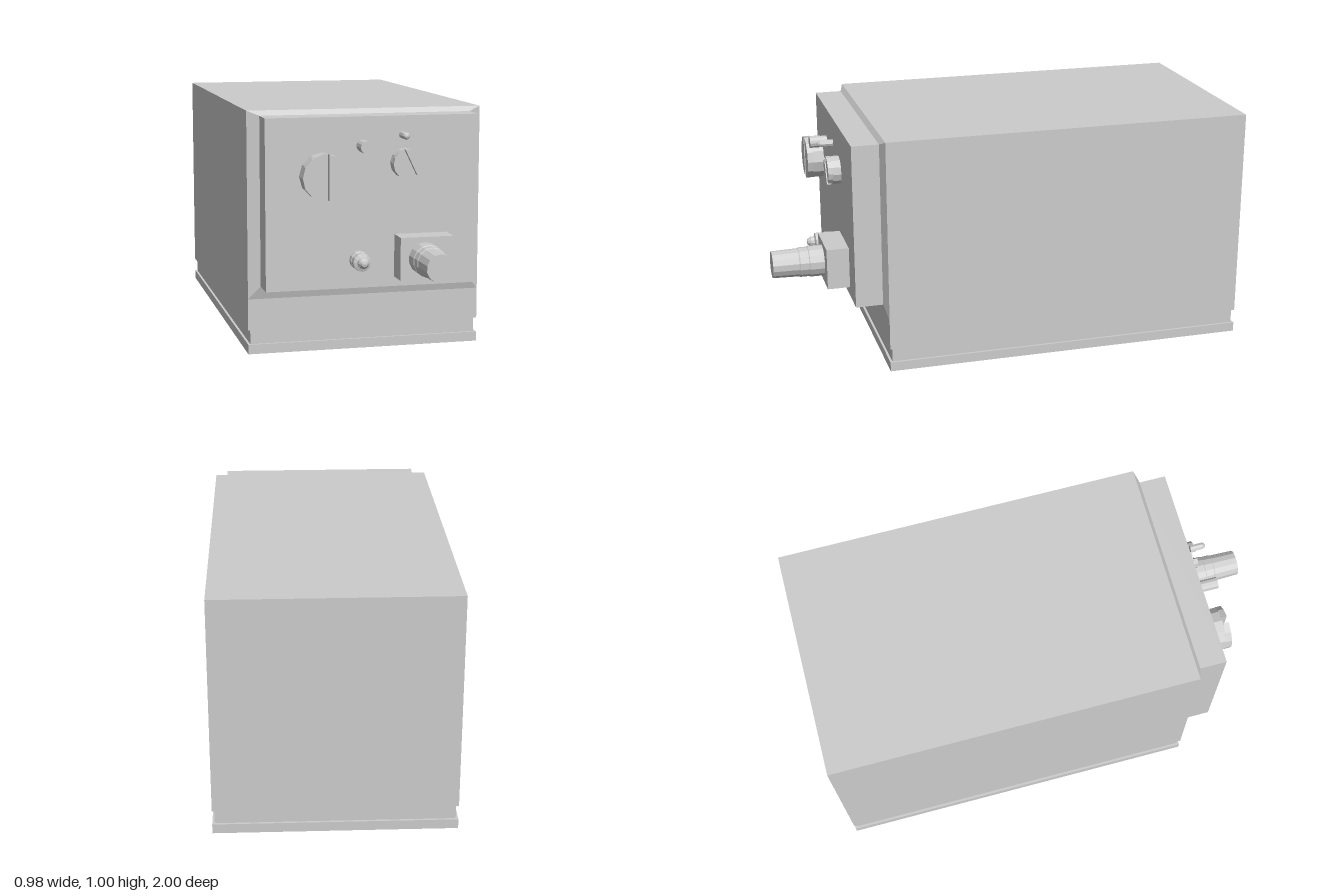
import * as THREE from 'three';

export function createModel() {
  const model = new THREE.Group();
  const material = new THREE.MeshStandardMaterial({ color: 0xcccccc, flatShading: true });

  function add(name, geometry, parent = model) {
    const mesh = new THREE.Mesh(geometry, material);
    mesh.name = name;
    parent.add(mesh);
    return mesh;
  }

  // Box given by its limits on each axis
  function box(name, x0, x1, y0, y1, z0, z1) {
    const g = new THREE.BoxGeometry(x1 - x0, y1 - y0, z1 - z0);
    g.translate((x0 + x1) / 2, (y0 + y1) / 2, (z0 + z1) / 2);
    return add(name, g);
  }

  // Solid turned about the z axis from [radius, z] pairs, back to front
  function turned(name, x, y, profile, sides = 12) {
    const g = new THREE.LatheGeometry(profile.map(([r, z]) => new THREE.Vector2(r, z)), sides);
    g.rotateX(Math.PI / 2);
    add(name, g).position.set(x, y, 0);
  }

  // Round knob with a slot cut across its face
  function slottedKnob(name, x, y, radius, z0, z1, slot, depth, angle) {
    const knob = new THREE.Group();
    knob.name = name;
    knob.position.set(x, y, 0);
    knob.rotation.z = angle;
    model.add(knob);
    const floor = z1 - depth;
    const disc = new THREE.CylinderGeometry(radius, radius, floor - z0, 12);
    disc.rotateX(Math.PI / 2).translate(0, 0, (z0 + floor) / 2);
    add(name + 'Disc', disc, knob);
    const half = Math.acos(slot / 2 / radius);
    for (const turn of [0, Math.PI]) {
      const points = [];
      for (let i = 0; i <= 6; i++) {
        const a = turn - half + (2 * half * i) / 6;
        points.push(new THREE.Vector2(radius * Math.cos(a), radius * Math.sin(a)));
      }
      const g = new THREE.ExtrudeGeometry(new THREE.Shape(points), { depth, bevelEnabled: false });
      g.translate(0, 0, floor);
      add(name + 'Cheek', g, knob);
    }
  }

  // Cabinet on a base with a recessed band between them
  box('base', -0.49, 0.49, 0, 0.04, -1, 0.56);
  box('recessedBand', -0.48, 0.48, 0.04, 0.1, -0.99, 0.55);
  box('cabinet', -0.49, 0.49, 0.1, 1, -1, 0.56);

  // Shallow bevel that narrows from the cabinet to the front panel
  const bevel = new THREE.BoxGeometry(1, 1, 1);
  const pos = bevel.attributes.position;
  for (let i = 0; i < pos.count; i++) {
    const front = pos.getZ(i) > 0;
    const x = Math.sign(pos.getX(i)) * (front ? 0.44 : 0.49);
    const y = pos.getY(i) > 0 ? (front ? 0.98 : 1) : (front ? 0.285 : 0.23);
    pos.setXYZ(i, x, y, front ? 0.576 : 0.56);
  }
  bevel.computeVertexNormals();
  add('panelBevel', bevel);
  box('frontPanel', -0.44, 0.44, 0.285, 0.98, 0.57, 0.69);

  // Controls on the panel
  slottedKnob('largeKnob', -0.215, 0.75, 0.093, 0.712, 0.784, 0.028, 0.025, 0);
  slottedKnob('smallKnob', 0.13, 0.79, 0.06, 0.69, 0.745, 0.03, 0.02, 0.45);
  turned('roundButton', -0.05, 0.865, [[0, 0.71], [0.025, 0.71], [0.025, 0.784], [0, 0.784]]);
  turned('indicatorPeg', 0.115, 0.905,
    [[0, 0.71], [0.015, 0.71], [0.015, 0.765], [0.009, 0.775], [0, 0.778]], 8);
  turned('jack', -0.065, 0.405, [[0, 0.71], [0.038, 0.71], [0.038, 0.735], [0.032, 0.74],
    [0.037, 0.745], [0.037, 0.775], [0.022, 0.78], [0.022, 0.795], [0.012, 0.81], [0, 0.813]]);

  // Square mount carrying the projecting barrel
  box('barrelMount', 0.09, 0.31, 0.325, 0.5, 0.69, 0.784);
  turned('barrel', 0.19, 0.413, [[0, 0.78], [0.066, 0.78], [0.066, 0.845], [0.063, 0.848],
    [0.063, 0.885], [0.06, 0.89], [0.057, 1], [0, 1]], 14);

  return model;
}
